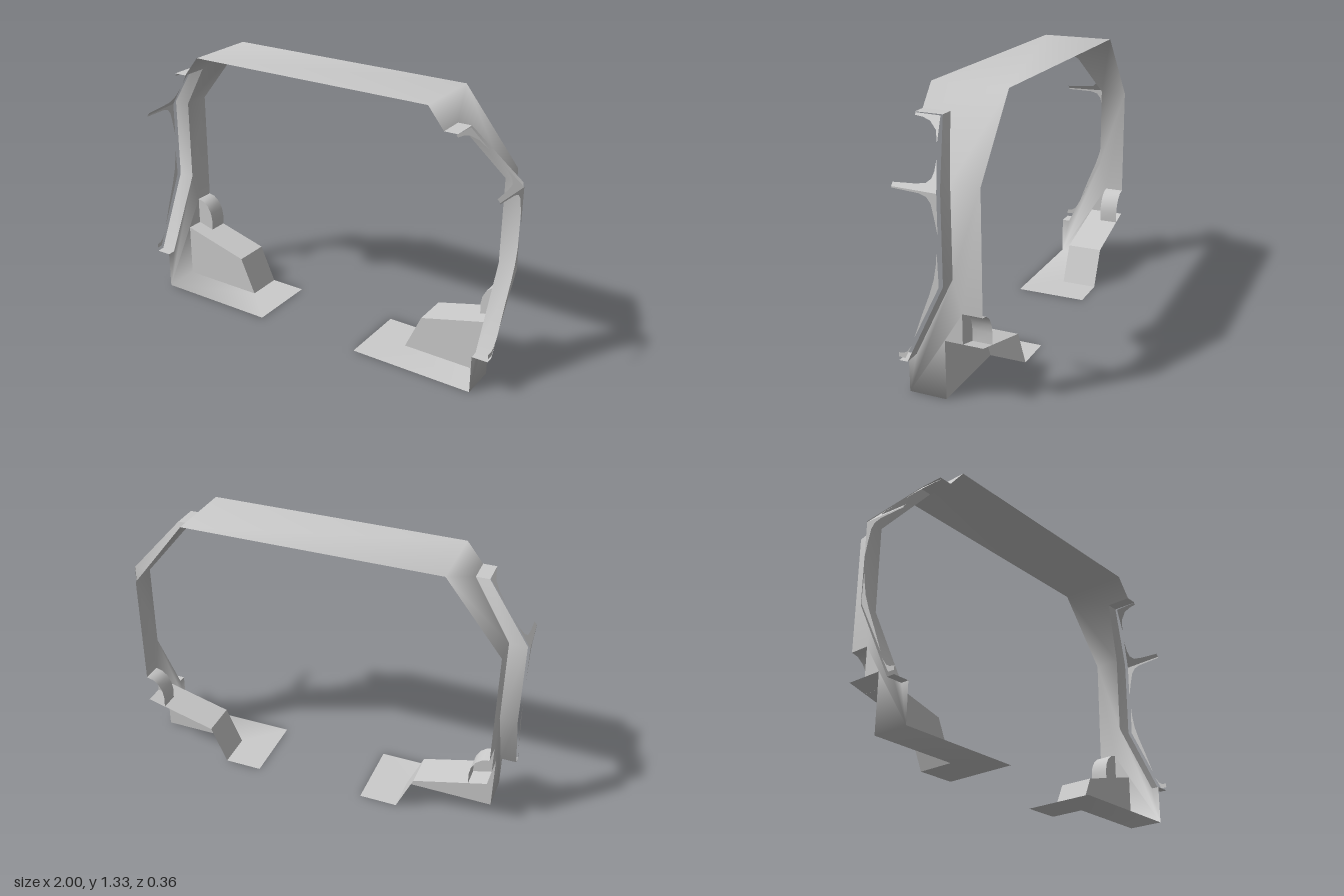
import * as THREE from 'three';
import { mergeGeometries, mergeVertices, toCreasedNormals } from 'three/addons/utils/BufferGeometryUtils.js';

const material = new THREE.MeshStandardMaterial({ color: 0xcccccc, side: THREE.DoubleSide });
const BACK = -0.18, FRONT = 0.18, WALL = 0.906, BEND = 0.985, ROOF = 1.33, ROOF_X = 0.63;

// Flat outline bent into space by place(u, v) -> [x, y, z]
function panel(outline, place) {
  const geo = new THREE.ShapeGeometry(new THREE.Shape(outline.map(([u, v]) => new THREE.Vector2(u, v))));
  const pos = geo.attributes.position;
  for (let i = 0; i < pos.count; i++) pos.setXYZ(i, ...place(pos.getX(i), pos.getY(i)));
  geo.deleteAttribute('uv');
  geo.deleteAttribute('normal');
  return geo;
}

// Ribbon of quads between two rows of points
function ribbon(a, b) {
  const geo = new THREE.BufferGeometry(), index = [], n = a.length;
  geo.setAttribute('position', new THREE.Float32BufferAttribute([...a, ...b].flat(), 3));
  for (let i = 0; i < n - 1; i++) index.push(i, n + i, i + 1, i + 1, n + i, n + i + 1);
  geo.setIndex(index);
  return geo;
}

// Copy on the other side, with corner order kept outward
function mirrored(geo) {
  const copy = geo.clone().scale(-1, 1, 1);
  copy.setIndex(Array.from(copy.index.array).reverse());
  return copy;
}

// Skin position across the side wall and the sloped shoulder
const skinX = (y) => (y > BEND ? WALL - (WALL - ROOF_X) * (y - BEND) / (ROOF - BEND) : WALL);
// Outer trim lies just beyond the door flange and leans in with the shoulder
const trimX = (y, z) => 1 - 0.07 * (z + 0.033) - 0.85 * Math.max(0, y - 0.97);

// Side outlines are listed as [z, y]
const side = (outline, xAt) => panel(outline.map(([z, y]) => [-z, y]), (u, y) => [xAt(y, -u), y, -u]);

const doorEdge = [[FRONT, 1.23], [0.05, 1.23], [-0.045, BEND], [-0.045, 0.57], [0.14, 0.19], [FRONT, 0.19]];

// Closed trim pieces framing the door windows
const trims = {
  upperCornerTrim: [[0.18, 1.225], [0.06, 1.225], [0.035, 1.13], [0.06, 1.175], [0.1, 1.203], [0.14, 1.213], [0.18, 1.216]],
  beltTrimUpper: [[0.18, 0.985], [0.08, 0.991], [0.03, 0.998], [0.01, 1.015], [0.007, 1.04], [0.016, 1.085], [-0.033, 0.97], [0.18, 0.97]],
  beltTrimLower: [[0.18, 0.97], [-0.033, 0.97], [-0.033, 0.795], [-0.02, 0.86], [-0.005, 0.925], [0.015, 0.95], [0.05, 0.96], [0.18, 0.964]],
  pillarTrim: [[-0.026, 0.73], [-0.031, 0.57], [0.1, 0.31], [0.055, 0.43], [0.015, 0.53], [-0.008, 0.6], [-0.021, 0.67]],
  sillTrim: [[0.18, 0.228], [0.18, 0.208], [0.148, 0.208], [0.11, 0.28], [0.135, 0.243], [0.155, 0.231]],
};

export function createModel() {
  const group = new THREE.Group();
  const add = (name, geo) => {
    const mesh = new THREE.Mesh(geo, material);
    mesh.name = name;
    group.add(mesh);
  };

  // Shoulder, side wall with wheel cut-out, and floor of one side
  const half = [
    side([[BACK, ROOF], [FRONT, ROOF], ...doorEdge.slice(0, 3), [BACK, BEND]], skinX),
    side([[BACK, BEND], ...doorEdge.slice(2), [FRONT, 0], [0, 0], [0, 0.28],
      [-0.085, 0.28], [-0.085, 0.42], [BACK, 0.42]], skinX),
    panel([[WALL, FRONT], [0.28, FRONT], [0.28, BACK], [0.468, BACK], [0.468, 0], [WALL, 0]], (x, z) => [x, 0, z]),
  ];
  const roof = panel([[-ROOF_X, BACK], [ROOF_X, BACK], [ROOF_X, FRONT], [-ROOF_X, FRONT]].map(([x, z]) => [x, -z]),
    (x, v) => [x, ROOF, -v]);
  const shell = mergeVertices(mergeGeometries([roof, ...half, ...half.map(mirrored)]));
  shell.computeVertexNormals();
  add('cabinShell', shell);

  // Flange turned outward around the door opening
  const flange = ribbon(
    doorEdge.map(([z, y]) => [skinX(y), y, z]),
    doorEdge.map(([z, y]) => [y > 1.2 ? 0.775 : y > 0.5 ? 0.99 : 0.984, y, z]));

  // Wheel housing: front wall with sloped top and inner side, open behind
  const housingLine = [[WALL, 0.28], [0.55, 0.185], [0.468, 0]];
  const housing = mergeGeometries([
    ribbon(housingLine.map(([x, y]) => [x, y, 0]), housingLine.map(([x, y]) => [x, y, BACK])),
    panel([[WALL, 0], ...housingLine], (x, y) => [x, y, 0]),
  ]);

  // Rounded bulge above the housing
  const bulgeLine = [[WALL, 0.42], [0.872, 0.412], [0.842, 0.388], [0.822, 0.35], [0.815, 0.31], [0.817, 0.256]];
  const bulge = mergeGeometries([
    ribbon(bulgeLine.map(([x, y]) => [x, y, -0.085]), bulgeLine.map(([x, y]) => [x, y, BACK])),
    panel([[WALL, 0.28], ...bulgeLine], (x, y) => [x, y, -0.085]),
  ]);

  const parts = { doorFlange: flange, wheelHousing: housing, housingBulge: bulge };
  for (const [name, outline] of Object.entries(trims)) parts[name] = side(outline, trimX);

  for (const [name, geo] of Object.entries(parts)) {
    const label = name[0].toUpperCase() + name.slice(1);
    add('left' + label, toCreasedNormals(geo, 0.7));
    add('right' + label, toCreasedNormals(mirrored(geo), 0.7));
  }
  return group;
}
